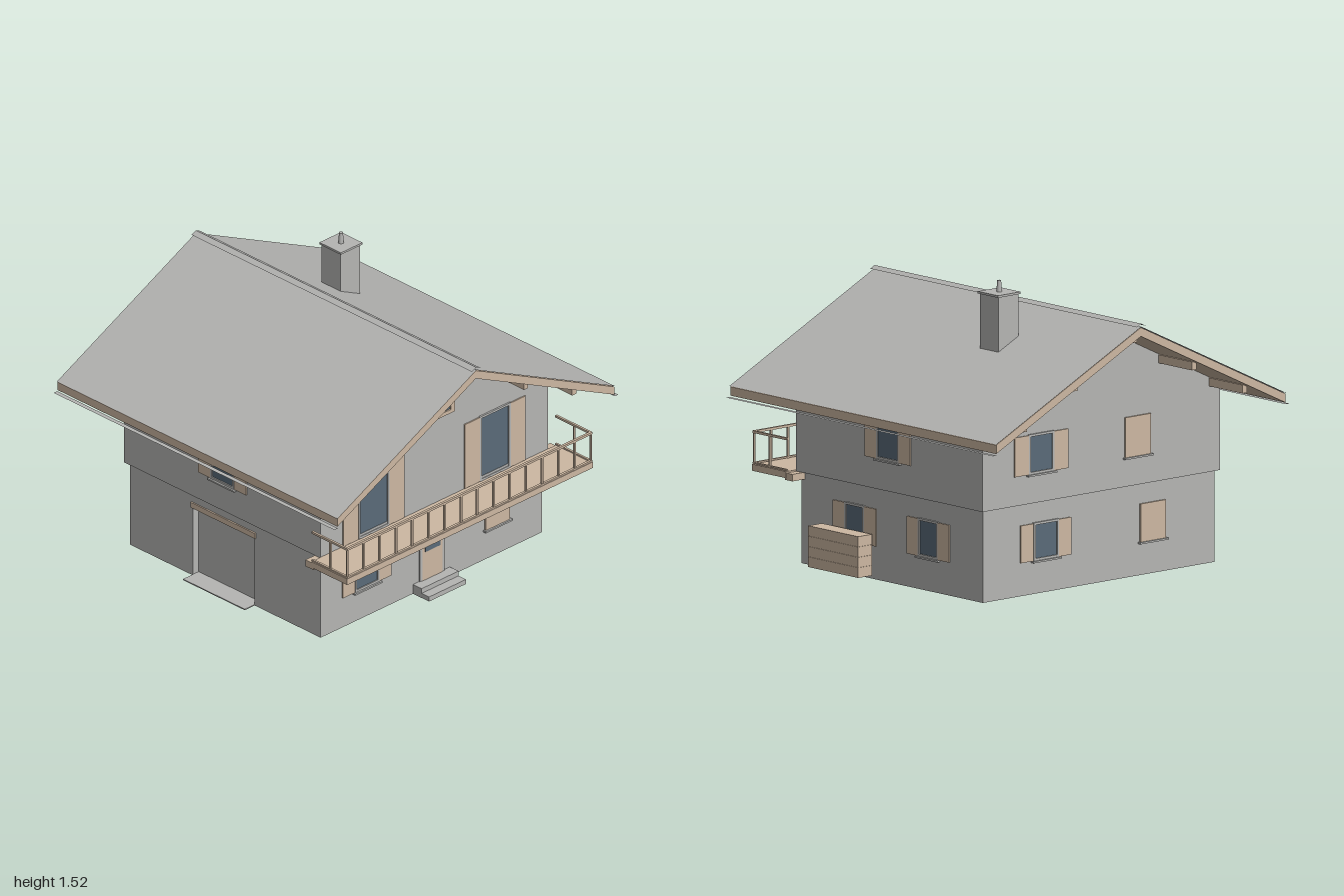
import * as THREE from 'three';

const grey = new THREE.MeshStandardMaterial({ color: 0xb5b5b3 });
const wood = new THREE.MeshStandardMaterial({ color: 0xcdb8a2 });
const glass = new THREE.MeshStandardMaterial({ color: 0x5a6b79 });
const shell = new THREE.MeshStandardMaterial({ color: 0xb5b5b3, side: THREE.DoubleSide });
grey.name = 'stone grey';
wood.name = 'pale wood';
glass.name = 'blue glass';
shell.name = 'thin stone grey';

function add(parent, name, geometry, material) {
  const mesh = new THREE.Mesh(geometry, material);
  mesh.name = name;
  parent.add(mesh);
  return mesh;
}

// Box given by its limits on each axis
function box(parent, name, material, x0, x1, y0, y1, z0, z1) {
  const mesh = add(parent, name, new THREE.BoxGeometry(x1 - x0, y1 - y0, z1 - z0), material);
  mesh.position.set((x0 + x1) / 2, (y0 + y1) / 2, (z0 + z1) / 2);
  return mesh;
}

const outline = (pts) => new THREE.Shape(pts.map((p) => new THREE.Vector2(...p)));

// Local frame on a wall: x along the wall, z outwards
function onWall(parent, name, x, z, angle) {
  const group = new THREE.Group();
  group.name = name;
  group.position.set(x, 0, z);
  group.rotation.y = angle;
  parent.add(group);
  return group;
}

function wall(parent, name, pts, x, z, angle) {
  add(onWall(parent, name, x, z, angle), name + 'Panel', new THREE.ShapeGeometry(outline(pts)), shell);
}

const rect = (h, y0, y1) => [[-h, y0], [h, y0], [h, y1], [-h, y1]];

// Window with optional open shutters, or a closed board in its place
function opening(g, { x = 0, w = 0.17, y0 = 0.17, y1 = 0.365, shutter = 0.085, closed = false, sill = true }) {
  const h = w / 2;
  if (closed) {
    box(g, 'closedShutter', wood, x - h, x + h, y0, y1, -0.008, 0.01);
  } else {
    const t = 0.012;
    box(g, 'windowGlass', glass, x - h + t, x + h - t, y0 + t, y1 - t, -0.004, 0.004);
    for (const s of [-1, 1]) {
      const e = x + s * (h - t / 2);
      box(g, 'windowJamb', grey, e - t / 2, e + t / 2, y0, y1, -0.01, 0.01);
      const c = x + s * (h + shutter / 2);
      box(g, 'openShutter', wood, c - shutter / 2, c + shutter / 2, y0, y1 - 0.004, 0.001, 0.008);
    }
    box(g, 'windowHead', grey, x - h, x + h, y1 - t, y1, -0.01, 0.01);
    box(g, 'windowFoot', grey, x - h, x + h, y0, y0 + t, -0.01, 0.01);
  }
  if (sill) box(g, 'windowSill', grey, x - h - 0.01, x + h + 0.01, y0 - 0.009, y0, -0.005, 0.02);
}

export function createModel() {
  const house = new THREE.Group();
  house.name = 'chalet';
  const Q = Math.PI / 2;
  const slope = 0.482;

  // Hollow walls, the left one notched for the garage
  const lower = rect(0.78, 0, 0.47);
  const gable = [[-0.8, 0.47], [0.8, 0.47], [0.8, 0.94], [0, 1.32], [-0.8, 0.94]];
  wall(house, 'lowerFrontWall', lower, 0, 0.68, 0);
  wall(house, 'lowerBackWall', lower, 0, -0.68, 2 * Q);
  wall(house, 'lowerSideWall', rect(0.68, 0, 0.47), 0.78, 0, Q);
  wall(house, 'garageWall', [[-0.68, 0], [-0.23, 0], [-0.23, 0.4], [0.21, 0.4],
    [0.21, 0], [0.68, 0], [0.68, 0.47], [-0.68, 0.47]], -0.78, 0, -Q);
  wall(house, 'upperFrontWall', gable, 0, 0.7, 0);
  wall(house, 'upperBackWall', gable, 0, -0.7, 2 * Q);
  for (const s of [-1, 1]) wall(house, 'upperSideWall', rect(0.7, 0.47, 0.935), s * 0.8, 0, s * Q);

  // Ledge under the overhanging upper storey
  const ring = outline([[-0.8, -0.7], [0.8, -0.7], [0.8, 0.7], [-0.8, 0.7]]);
  ring.holes.push(outline([[-0.78, -0.68], [0.78, -0.68], [0.78, 0.68], [-0.78, 0.68]]));
  const ledge = add(house, 'storeyLedge', new THREE.ShapeGeometry(ring), shell);
  ledge.rotation.x = Q;
  ledge.position.y = 0.47;

  // Recessed garage with ramp
  box(house, 'garageDoor', grey, -0.74, -0.735, 0, 0.4, -0.23, 0.21);
  for (const z of [-0.235, 0.21]) box(house, 'garageReveal', grey, -0.779, -0.735, 0, 0.4, z, z + 0.005);
  box(house, 'garageLintel', wood, -0.788, -0.735, 0.388, 0.418, -0.24, 0.22);
  box(house, 'garageRamp', grey, -0.85, -0.74, 0, 0.006, -0.23, 0.21);

  // Roof boards, thin covering, ridge cap and gutters
  const boards = outline([[0, 1.35], [-0.975, 0.88], [-0.975, 0.835], [0, 1.305], [0.975, 0.835], [0.975, 0.88]]);
  add(house, 'roofBoards', new THREE.ExtrudeGeometry(boards, { depth: 1.994, bevelEnabled: false }), wood)
    .position.z = -0.997;
  const tilt = Math.atan(slope);
  function slab(name, s, reach, top) {
    const plane = new THREE.PlaneGeometry(reach / Math.cos(tilt), 2).rotateX(-Q);
    const mesh = add(house, name, plane, shell);
    mesh.rotation.z = -s * tilt;
    mesh.position.set((s * reach) / 2, top - (reach * slope) / 2, 0);
  }
  for (const s of [-1, 1]) {
    slab('roofCovering', s, 0.978, 1.355);
    slab('ridgeCap', s, 0.03, 1.37);
    const gutter = add(house, 'gutter', new THREE.PlaneGeometry(0.025, 2).rotateX(-Q), shell);
    gutter.position.set(s * 0.9875, 0.827, 0);
  }

  // Purlins running out under both gable overhangs
  for (const x of [-0.74, -0.4, 0, 0.4, 0.74]) {
    const y = 1.308 - slope * Math.abs(x);
    box(house, 'purlin', wood, x - 0.015, x + 0.015, y - 0.043, y, -0.95, 0.95);
  }

  // Chimney
  box(house, 'chimney', grey, 0.235, 0.372, 1.1, 1.456, -0.342, -0.204);
  box(house, 'chimneyCap', grey, 0.229, 0.381, 1.456, 1.467, -0.35, -0.197);
  add(house, 'flue', new THREE.CylinderGeometry(0.01, 0.014, 0.058, 16), grey).position.set(0.305, 1.496, -0.273);

  // Front windows and balcony doors
  const groundFront = onWall(house, 'groundFrontOpenings', 0, 0.68, 0);
  opening(groundFront, { x: -0.46 });
  opening(groundFront, { x: 0.46, closed: true });
  const upperFront = onWall(house, 'upperFrontOpenings', 0, 0.7, 0);
  for (const x of [-0.432, 0.422]) {
    opening(upperFront, { x, w: 0.215, y0: 0.48, y1: 0.85, shutter: 0.107, sill: false });
    box(upperFront, 'balconyDoorFoot', grey, x - 0.1, x + 0.1, 0.48, 0.505, -0.006, 0.006);
  }

  // Attic window with four panes
  const attic = outline(rect(0.133, 0.955, 1.147));
  for (const x of [-0.107, 0.005]) {
    for (const [y0, y1] of [[0.975, 1.053], [1.062, 1.13]]) {
      attic.holes.push(outline([[x, y0], [x + 0.102, y0], [x + 0.102, y1], [x, y1]]));
    }
  }
  add(upperFront, 'atticFrame', new THREE.ExtrudeGeometry(attic, { depth: 0.024, bevelEnabled: false }), wood)
    .position.z = -0.012;
  box(upperFront, 'atticGlass', glass, -0.115, 0.115, 0.965, 1.14, -0.004, 0.004);

  // Front door and steps
  box(groundFront, 'doorFrame', grey, -0.087, 0.087, 0.05, 0.42, -0.006, 0.006);
  box(groundFront, 'doorLeaf', wood, -0.07, 0.07, 0.05, 0.405, -0.009, 0.009);
  box(groundFront, 'doorGlass', glass, -0.053, 0.053, 0.213, 0.385, -0.012, 0.012);
  box(house, 'upperStep', grey, -0.13, 0.13, 0.025, 0.053, 0.68, 0.742);
  box(house, 'lowerStep', grey, -0.13, 0.13, 0, 0.026, 0.68, 0.795);

  // Side windows
  for (const s of [-1, 1]) {
    opening(onWall(house, 'upperSideOpening', s * 0.8, 0.005, s * Q), { y0: 0.627, y1: 0.82 });
  }
  const groundSide = onWall(house, 'groundSideOpenings', 0.78, 0, Q);
  for (const x of [-0.277, 0.275]) opening(groundSide, { x, w: 0.15 });

  // Back windows
  const groundBack = onWall(house, 'groundBackOpenings', 0, -0.68, 2 * Q);
  opening(groundBack, { x: -0.36 });
  opening(groundBack, { x: 0.36, closed: true });
  const upperBack = onWall(house, 'upperBackOpenings', 0, -0.7, 2 * Q);
  opening(upperBack, { x: -0.41, y0: 0.62, y1: 0.825, shutter: 0.095 });
  opening(upperBack, { x: 0.24, y0: 0.62, y1: 0.825, closed: true });

  // Balcony floor, beam and railing
  const balcony = new THREE.Group();
  balcony.name = 'balcony';
  house.add(balcony);
  box(balcony, 'balconyFloor', wood, -0.865, 0.865, 0.442, 0.476, 0.7, 0.955);
  box(balcony, 'balconyBeam', wood, -0.863, 0.863, 0.432, 0.468, 0.655, 0.712);
  const post = (x, z) => box(balcony, 'railPost', wood, x - 0.005, x + 0.005, 0.476, 0.64, z - 0.005, z + 0.005);
  for (let i = 0; i <= 15; i++) post(-0.858 + i * 0.1144, 0.948);
  for (const [y0, y1] of [[0.636, 0.648], [0.479, 0.487]]) {
    box(balcony, 'frontRail', wood, -0.864, 0.864, y0, y1, 0.941, 0.955);
    for (const s of [-1, 1]) box(balcony, 'sideRail', wood, s * 0.858 - 0.006, s * 0.858 + 0.006, y0, y1, 0.7, 0.945);
  }
  for (const s of [-1, 1]) post(s * 0.858, 0.83);

  // Stacked firewood
  for (let i = 0; i < 4; i++) {
    const y = 0.022 + i * 0.053;
    box(house, 'firewoodLayer', wood, 0.802, 0.895, y, y + 0.052, 0.127, 0.502);
  }
  return house;
}
